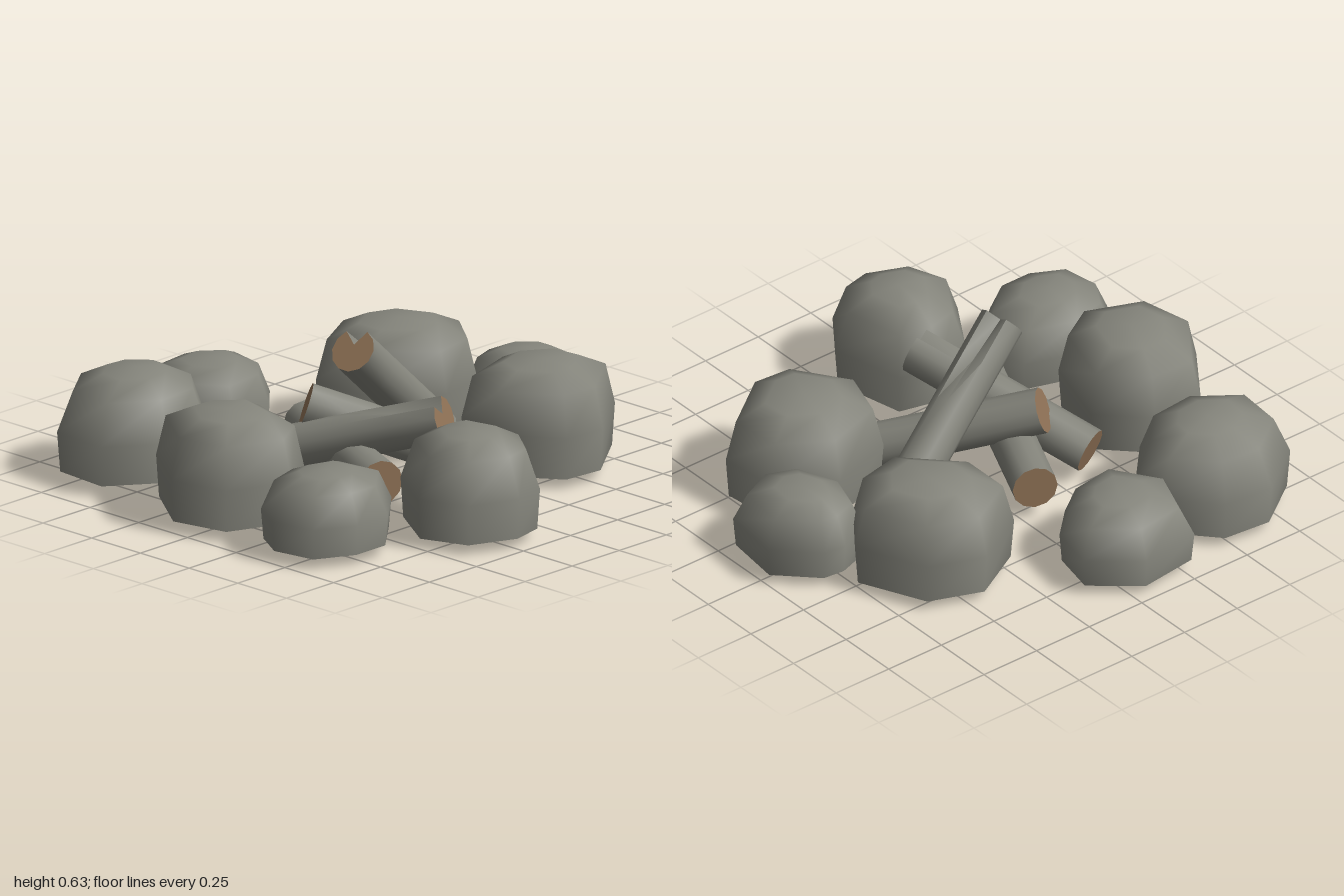
import * as THREE from 'three';
import { toCreasedNormals } from 'three/addons/utils/BufferGeometryUtils.js';

const grey = new THREE.MeshStandardMaterial({ color: 0x85857c, side: THREE.DoubleSide });
grey.name = 'stoneGrey';
const brown = new THREE.MeshStandardMaterial({ color: 0x8f7256, side: THREE.DoubleSide });
brown.name = 'cutWoodBrown';

// Rounded stone: rings of one plan outline [x, z], open underneath
function stone(outline, top, flatness) {
  const base = 0.05, n = outline.length;
  const cx = outline.reduce((s, p) => s + p[0], 0) / n;
  const cz = outline.reduce((s, p) => s + p[1], 0) / n;
  // [scale, height fraction]
  const rings = [[0.96, 0], [1, 0.42], [0.8 + flatness, 0.83], [0.42 + flatness, 0.97]];
  const pos = [], index = [];
  for (const [s, h] of rings) {
    for (const [x, z] of outline) {
      pos.push(cx + (x - cx) * s, base + (top - base) * h, cz + (z - cz) * s);
    }
  }
  pos.push(cx, top, cz);
  const apex = rings.length * n;
  for (let j = 0; j < n; j++) {
    const k = (j + 1) % n;
    for (let i = 0; i < rings.length - 1; i++) {
      const a = i * n + j, b = i * n + k;
      index.push(a, a + n, b, b, a + n, b + n);
    }
    index.push(apex - n + j, apex, apex - n + k);
  }
  const geo = new THREE.BufferGeometry();
  geo.setAttribute('position', new THREE.Float32BufferAttribute(pos, 3));
  geo.setIndex(index);
  geo.computeVertexNormals();
  return new THREE.Mesh(geo, grey);
}

// Log between two points; a split runs in from its first end when notched
function log(from, to, notched, roll) {
  const a = new THREE.Vector3(...from), b = new THREE.Vector3(...to);
  const length = a.distanceTo(b), r = 0.086;
  let geo = new THREE.CylinderGeometry(r, r, length, 12, 4);
  const p = geo.attributes.position;
  if (notched) {
    for (let i = 0; i < p.count; i++) {
      const x = p.getX(i), y = p.getY(i), z = p.getZ(i);
      if (z > r * 0.95 && Math.abs(x) < 0.01 && y > length * 0.2) {
        p.setZ(i, y > length * 0.45 ? r * 0.25 : r * 0.65);
      }
    }
  }
  const groups = geo.groups.map((g) => ({ ...g }));
  geo = toCreasedNormals(geo, 0.8);
  geo.clearGroups();
  groups.forEach((g) => geo.addGroup(g.start, g.count, g.materialIndex));
  const mesh = new THREE.Mesh(geo, [grey, brown, brown]);
  // Local y runs along the log, local z faces upwards
  const dir = a.clone().sub(b).normalize();
  const side = dir.clone().cross(new THREE.Vector3(0, 1, 0)).normalize();
  const up = side.clone().cross(dir);
  mesh.quaternion.setFromRotationMatrix(new THREE.Matrix4().makeBasis(side, dir, up.clone()));
  mesh.rotateY(roll);
  mesh.position.copy(a).add(b).multiplyScalar(0.5);
  return mesh;
}

export function createModel() {
  const model = new THREE.Group();

  // Ring of stones: name, top height, top flatness, plan outline
  const stones = [
    ['backStone', 0.325, 0, [[-0.04, -1], [0.2, -0.97], [0.275, -0.8], [0.22, -0.66], [0.02, -0.58], [-0.16, -0.64], [-0.2, -0.76], [-0.19, -0.85]]],
    ['backRightStone', 0.43, 0.07, [[-0.28, -0.78], [-0.09, -0.635], [-0.05, -0.43], [-0.275, -0.21], [-0.51, -0.21], [-0.635, -0.44], [-0.55, -0.655]]],
    ['backLeftStone', 0.435, 0.07, [[0.465, -0.79], [0.65, -0.535], [0.635, -0.36], [0.4, -0.2], [0.175, -0.275], [0.09, -0.55], [0.23, -0.765]]],
    ['rightStone', 0.325, 0, [[-0.83, -0.14], [-0.64, -0.1], [-0.53, 0.015], [-0.5, 0.235], [-0.72, 0.38], [-0.95, 0.29], [-0.98, 0.04]]],
    ['frontRightStone', 0.42, 0, [[-0.74, 0.3], [-0.57, 0.32], [-0.42, 0.46], [-0.4, 0.69], [-0.55, 0.895], [-0.79, 0.875], [-0.94, 0.665], [-0.92, 0.465]]],
    ['frontStone', 0.435, 0.07, [[-0.15, 0.445], [0.15, 0.535], [0.25, 0.705], [0.15, 0.95], [-0.085, 1], [-0.335, 0.82], [-0.32, 0.615]]],
    ['frontLeftStone', 0.325, 0, [[0.535, 0.47], [0.68, 0.64], [0.68, 0.8], [0.6, 0.955], [0.42, 0.985], [0.285, 0.905], [0.235, 0.73], [0.31, 0.5]]],
    ['leftStone', 0.42, 0, [[0.78, -0.015], [0.95, 0.11], [0.98, 0.25], [0.9, 0.44], [0.71, 0.51], [0.48, 0.365], [0.445, 0.21], [0.485, 0.05]]],
  ];
  for (const [name, top, flatness, outline] of stones) {
    const mesh = stone(outline, top, flatness);
    mesh.name = name;
    model.add(mesh);
  }

  // Stacked logs: name, split end, other end, split, roll
  const logs = [
    ['raisedLog', [0.11, 0.58, 0.235], [-0.01, 0.11, -0.33], true, 0.15],
    ['leaningLog', [0.43, 0.35, 0.08], [-0.24, 0.13, 0.37], true, 0.2],
    ['crossedLog', [0.36, 0.08, -0.23], [-0.13, 0.31, 0.235], true, Math.PI],
    ['lowLog', [-0.325, 0.15, 0.04], [0.365, 0.15, 0.35], false, 0],
  ];
  for (const [name, from, to, notched, roll] of logs) {
    const mesh = log(from, to, notched, roll);
    mesh.name = name;
    model.add(mesh);
  }
  return model;
}
